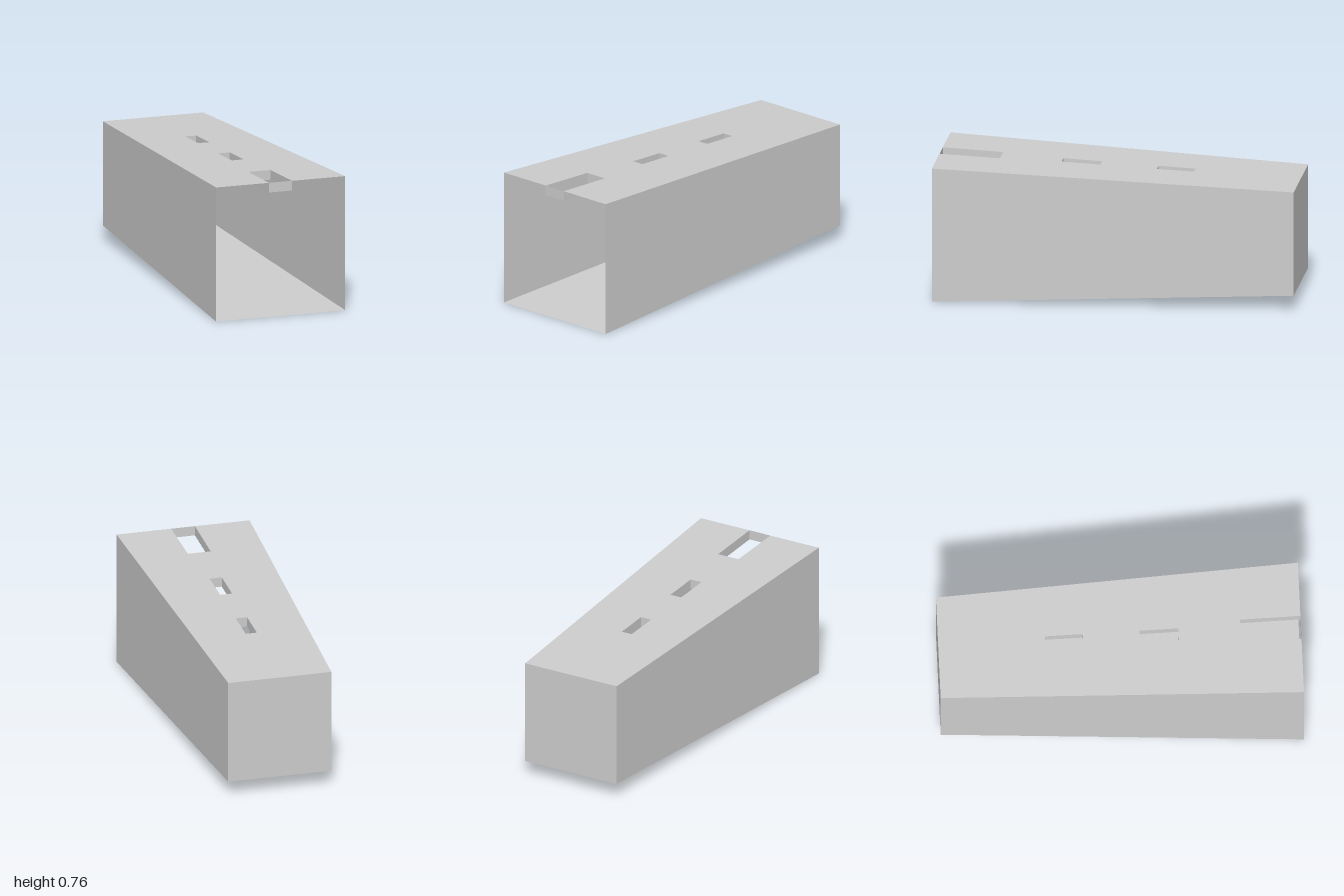
import * as THREE from 'three';

const CENTRE_Y = 0.38;   // axis height of the tapered duct
const DEPTH = 0.055;     // how far the slot collars hang below the top

// half width (and half height) of the square section at depth z
const half = z => 0.3375 + 0.0425 * z;
// point on the section at z, in units of the half width
const at = (u, v, z, drop = 0) => new THREE.Vector3(u * half(z), CENTRE_Y + v * half(z) - drop, z);

// slots in the top: u is half width relative to the section
const SLOTS = [
  { name: 'frontSlot', u: 0.178, z0: 0.665, z1: 1 },
  { name: 'middleSlot', u: 0.099, z0: 0.11, z1: 0.325 },
  { name: 'rearSlot', u: 0.099, z0: -0.41, z1: -0.205 },
];

// flat four-sided panel, corners counter-clockwise from outside
function quad(a, b, c, d) {
  const g = new THREE.BufferGeometry().setFromPoints([a, b, c, a, c, d]);
  g.computeVertexNormals();
  return g;
}

function topPanel() {
  // plan outline drawn with shape y = -z, notched at the front by the first slot
  const p = (u, z) => new THREE.Vector2(u * half(z), -z);
  const [notch, ...holes] = SLOTS;
  const shape = new THREE.Shape([
    p(-1, 1), p(-notch.u, 1), p(-notch.u, notch.z0), p(notch.u, notch.z0),
    p(notch.u, 1), p(1, 1), p(1, -1), p(-1, -1),
  ]);
  for (const { u, z0, z1 } of holes) {
    shape.holes.push(new THREE.Path([p(-u, z1), p(-u, z0), p(u, z0), p(u, z1)]));
  }
  const g = new THREE.ShapeGeometry(shape).rotateX(-Math.PI / 2);
  // slope the panel down to the back
  const pos = g.attributes.position;
  for (let i = 0; i < pos.count; i++) pos.setY(i, CENTRE_Y + half(pos.getZ(i)));
  g.computeVertexNormals();
  return g;
}

export function createModel() {
  const model = new THREE.Group();
  const grey = new THREE.MeshStandardMaterial({ color: 0xcccccc, side: THREE.DoubleSide });
  grey.name = 'light grey';
  const add = (parent, name, geometry) => {
    const mesh = new THREE.Mesh(geometry, grey);
    mesh.name = name;
    parent.add(mesh);
  };

  // thin tapered shell, open at the front
  add(model, 'top', topPanel());
  add(model, 'floor', quad(at(-1, -1, -1), at(1, -1, -1), at(1, -1, 1), at(-1, -1, 1)));
  add(model, 'leftWall', quad(at(1, -1, 1), at(1, -1, -1), at(1, 1, -1), at(1, 1, 1)));
  add(model, 'rightWall', quad(at(-1, -1, -1), at(-1, -1, 1), at(-1, 1, 1), at(-1, 1, -1)));
  add(model, 'backWall', quad(at(1, -1, -1), at(-1, -1, -1), at(-1, 1, -1), at(1, 1, -1)));

  // collars: four walls hanging from each slot, open below
  for (const { name, u, z0, z1 } of SLOTS) {
    const collar = new THREE.Group();
    collar.name = name;
    const corners = [[-u, z1], [u, z1], [u, z0], [-u, z0]];
    ['frontSide', 'leftSide', 'backSide', 'rightSide'].forEach((side, i) => {
      const [ua, za] = corners[i], [ub, zb] = corners[(i + 1) % 4];
      add(collar, side, quad(at(ua, 1, za, DEPTH), at(ub, 1, zb, DEPTH), at(ub, 1, zb), at(ua, 1, za)));
    });
    model.add(collar);
  }
  return model;
}
